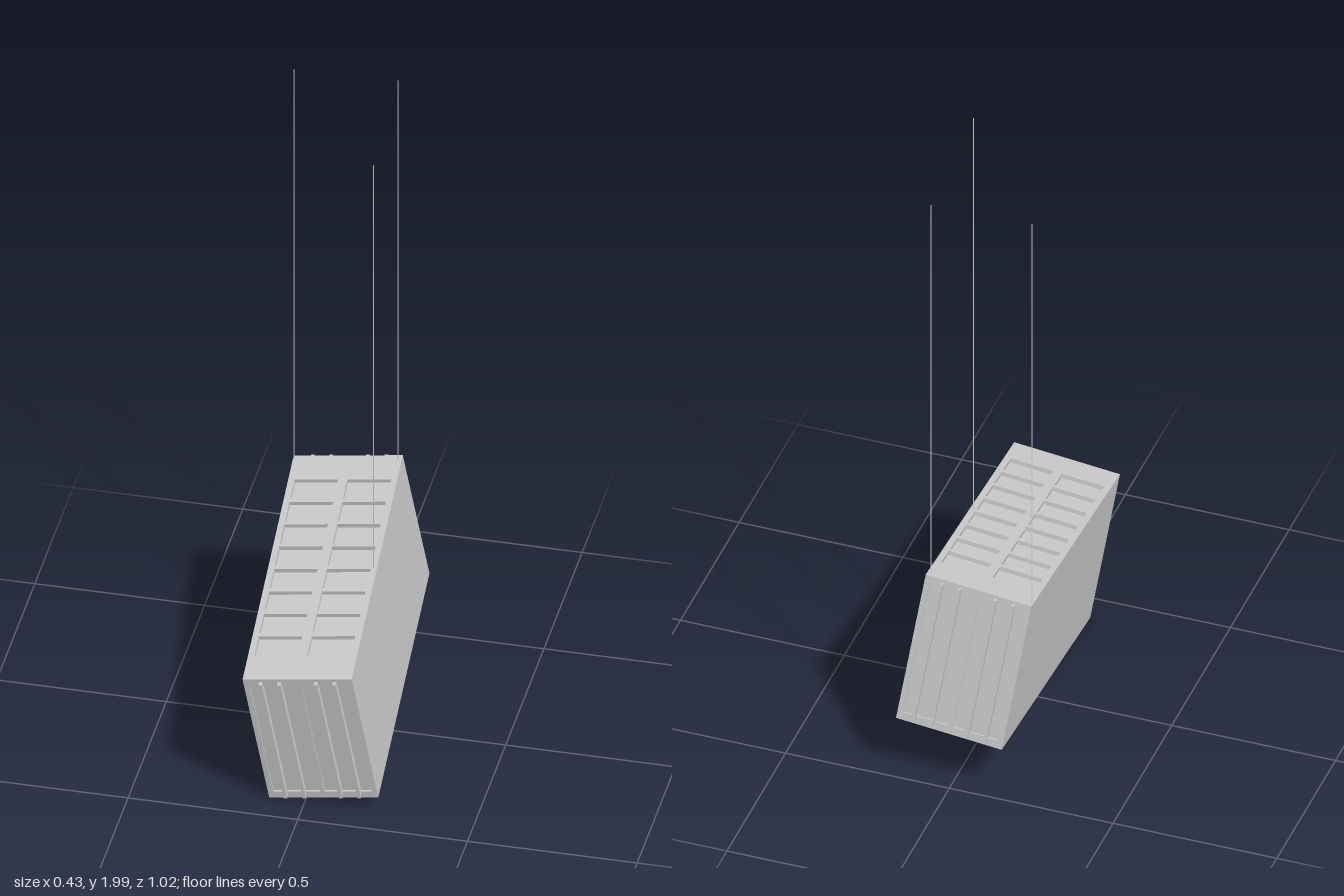
import * as THREE from 'three';

const W = 0.322, H = 0.477, L = 0.917;   // container size
const PIT = 0.013, DOOR = 0.006;         // recess depths on top/bottom and on the ends

const grey = new THREE.MeshStandardMaterial({ color: 0xcccccc, flatShading: true });

function part(name, geometry, parent, x = 0, y = 0, z = 0) {
  const mesh = new THREE.Mesh(geometry, grey);
  mesh.name = name;
  mesh.position.set(x, y, z);
  parent.add(mesh);
  return mesh;
}

function rect(Type, x, y, w, h) {
  const p = new Type();
  p.moveTo(x - w / 2, y - h / 2);
  p.lineTo(x + w / 2, y - h / 2);
  p.lineTo(x + w / 2, y + h / 2);
  p.lineTo(x - w / 2, y + h / 2);
  p.closePath();
  return p;
}

// Flat plate in XY with rectangular openings [x, y, w, h]
function plate(w, h, depth, openings) {
  const shape = rect(THREE.Shape, 0, 0, w, h);
  for (const o of openings) shape.holes.push(rect(THREE.Path, ...o));
  return new THREE.ExtrudeGeometry(shape, { depth, bevelEnabled: false });
}

export function createModel() {
  const model = new THREE.Group();
  model.name = 'hangingContainer';

  // Tilted container body
  const body = new THREE.Group();
  body.name = 'container';
  const along = new THREE.Vector3(0.052, -0.17, 0.9).normalize();
  const across = new THREE.Vector3(0.32, 0.042, -0.01);
  const up = along.clone().cross(across).normalize();
  across.crossVectors(up, along).normalize();
  body.quaternion.setFromRotationMatrix(new THREE.Matrix4().makeBasis(across, up, along));
  body.position.set(0, 0.346, 0);
  model.add(body);

  const innerH = H - 2 * PIT;
  part('core', new THREE.BoxGeometry(W, innerH, L - 2 * DOOR), body);

  // Top and bottom plates with two columns of eight recesses
  const pits = [];
  for (const x of [-0.078, 0.078])
    for (let i = 0; i < 8; i++) pits.push([x, (i - 3.5) * 0.0917, 0.129, 0.078]);
  const deck = plate(W, L, PIT, pits).rotateX(-Math.PI / 2);
  part('topPlate', deck, body, 0, H / 2 - PIT, 0);
  part('bottomPlate', deck, body, 0, -H / 2, 0);

  // Ends: recessed doors with four upright bars
  const doors = [-0.076, 0.076].map(x => [x, 0, 0.138, H - 0.05]);
  const endPlate = plate(W, innerH, DOOR, doors);
  const barDepth = DOOR + 0.014;
  const bar = new THREE.BoxGeometry(0.01, H - 0.02, barDepth);
  for (const s of [1, -1]) {
    const name = s > 0 ? 'front' : 'back';
    part(name + 'Doors', endPlate, body, 0, 0, s > 0 ? L / 2 - DOOR : -L / 2);
    for (const x of [-0.109, -0.054, 0.054, 0.109])
      part(name + 'Bar', bar, body, x, 0, s * (L / 2 - DOOR + barDepth / 2));
  }

  // Vertical wires from the top face up to y = 2
  const corner = up.clone().multiplyScalar(H / 2).add(body.position);
  for (const [x, z] of [[-0.21, -0.383], [0.094, -0.395], [0.12, 0.04]]) {
    const y = corner.y - (up.x * (x - corner.x) + up.z * (z - corner.z)) / up.y - 0.004;
    part('wire', new THREE.CylinderGeometry(0.0015, 0.0015, 2 - y, 8), model, x, (2 + y) / 2, z);
  }
  return model;
}
